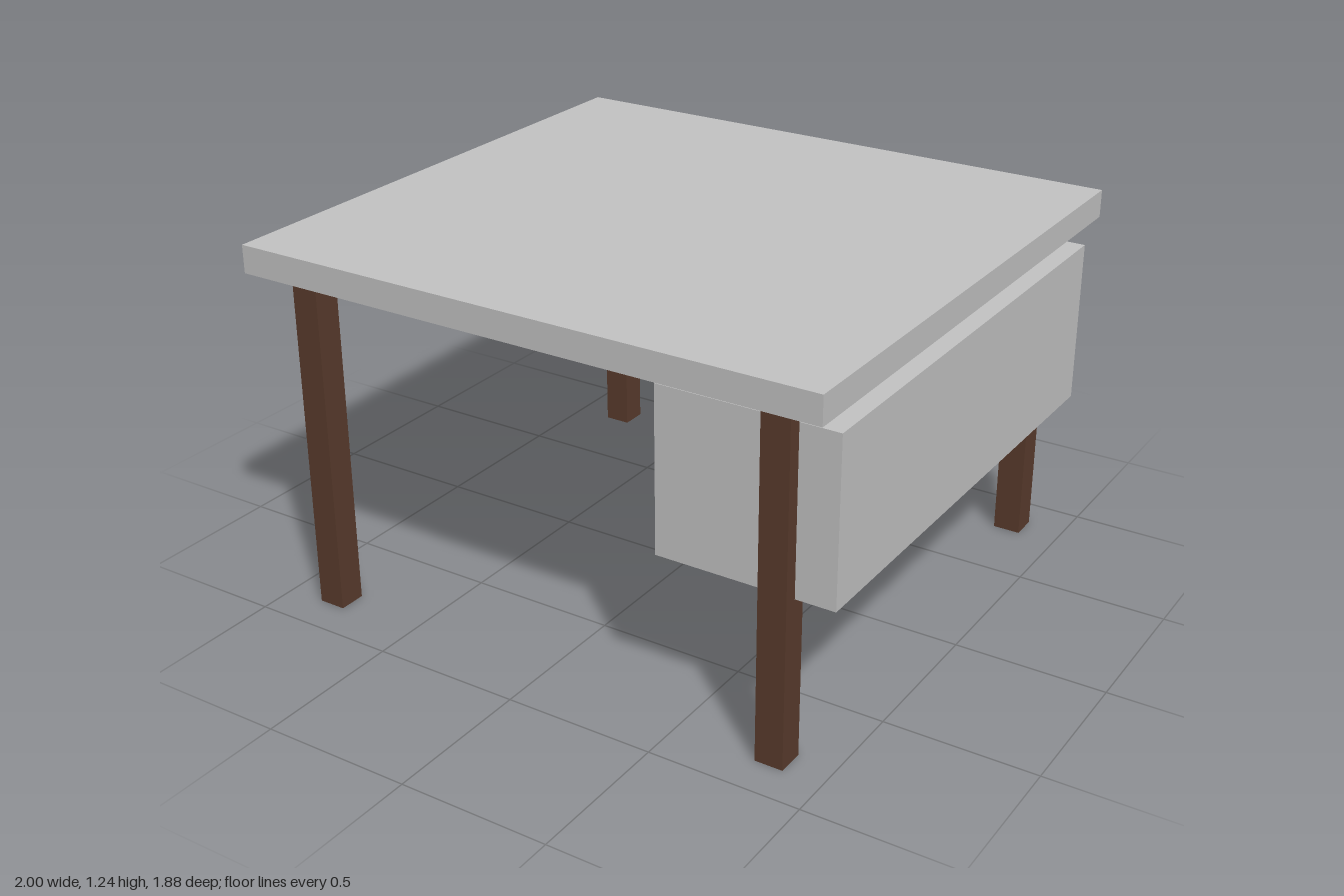
import * as THREE from 'three';

export function createModel() {
  const model = new THREE.Group();
  model.name = 'desk';

  const grey = new THREE.MeshStandardMaterial({ color: 0xc4c4c4 });
  grey.name = 'light grey';
  const brown = new THREE.MeshStandardMaterial({ color: 0x5a3c2d });
  brown.name = 'dark brown wood';

  // Box given by its size, centre in x and z, and bottom height
  function addBox(name, material, [w, h, d], [x, bottom, z]) {
    const mesh = new THREE.Mesh(new THREE.BoxGeometry(w, h, d), material);
    mesh.name = name;
    mesh.position.set(x, bottom + h / 2, z);
    model.add(mesh);
  }

  // Thick slab top
  addBox('tabletop', grey, [2, 0.092, 1.875], [0, 1.145, 0]);

  // Drawer cabinet hanging on the left side, flush with the tabletop edge
  addBox('drawerCabinet', grey, [0.587, 0.54, 1.65], [0.7065, 0.542, 0]);

  // Four square legs
  for (const [side, x] of [['Left', 0.825], ['Right', -0.825]]) {
    for (const [end, z] of [['front', 0.825], ['back', -0.825]]) {
      addBox(`${end}${side}Leg`, brown, [0.092, 1.145, 0.092], [x, 0, z]);
    }
  }

  return model;
}
